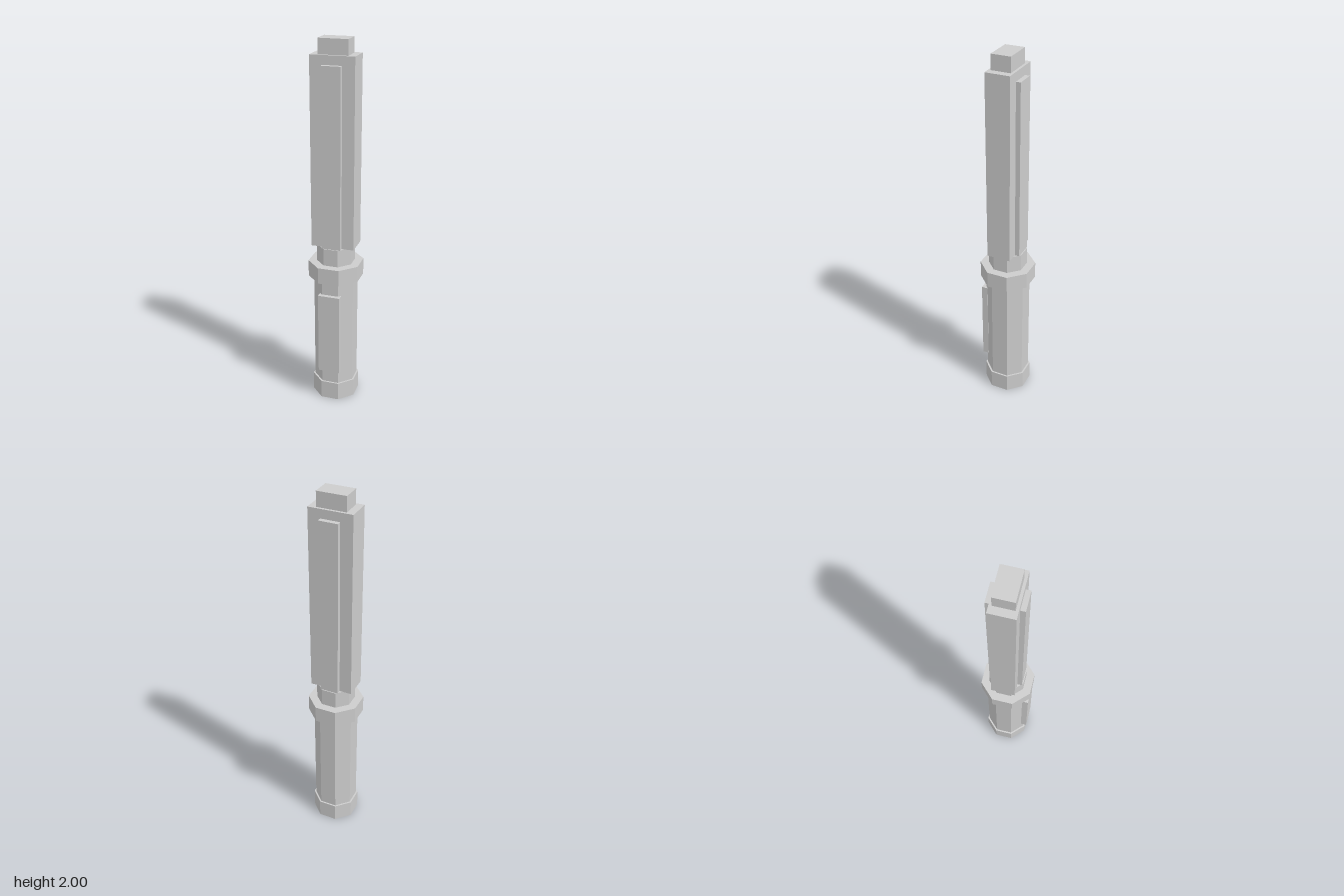
import * as THREE from 'three';

export function createModel() {
  const group = new THREE.Group();
  const grey = new THREE.MeshStandardMaterial({ color: 0xcccccc });
  grey.name = 'grey';

  const add = (name, geometry, y0, y1, z = 0) => {
    const mesh = new THREE.Mesh(geometry, grey);
    mesh.name = name;
    mesh.position.set(0, (y0 + y1) / 2, z);
    group.add(mesh);
  };

  // Octagonal section with flat sides facing the axes; size is centre to flat
  const octagon = (name, size, y0, y1) => {
    const r = size / Math.cos(Math.PI / 8);
    const g = new THREE.CylinderGeometry(r, r, y1 - y0, 8).rotateY(Math.PI / 8).toNonIndexed();
    g.computeVertexNormals();
    add(name, g, y0, y1);
  };

  const box = (name, width, depth, y0, y1, z) =>
    add(name, new THREE.BoxGeometry(width, y1 - y0, depth), y0, y1, z);

  // Handle
  octagon('pommel', 0.119, 0, 0.104);
  octagon('handle', 0.11, 0.104, 0.73);
  octagon('guard', 0.138, 0.73, 0.82);
  octagon('collar', 0.095, 0.82, 0.915);
  box('gripPlate', 0.12, 0.034, 0.185, 0.653, 0.115);

  // Blade with a raised panel on the front and back
  box('blade', 0.233, 0.13, 0.915, 1.922);
  for (const side of [1, -1]) {
    box(side > 0 ? 'frontPanel' : 'backPanel', 0.102, 0.03, 0.915, 1.875, side * 0.075);
  }
  box('tip', 0.156, 0.103, 1.922, 2);

  return group;
}
